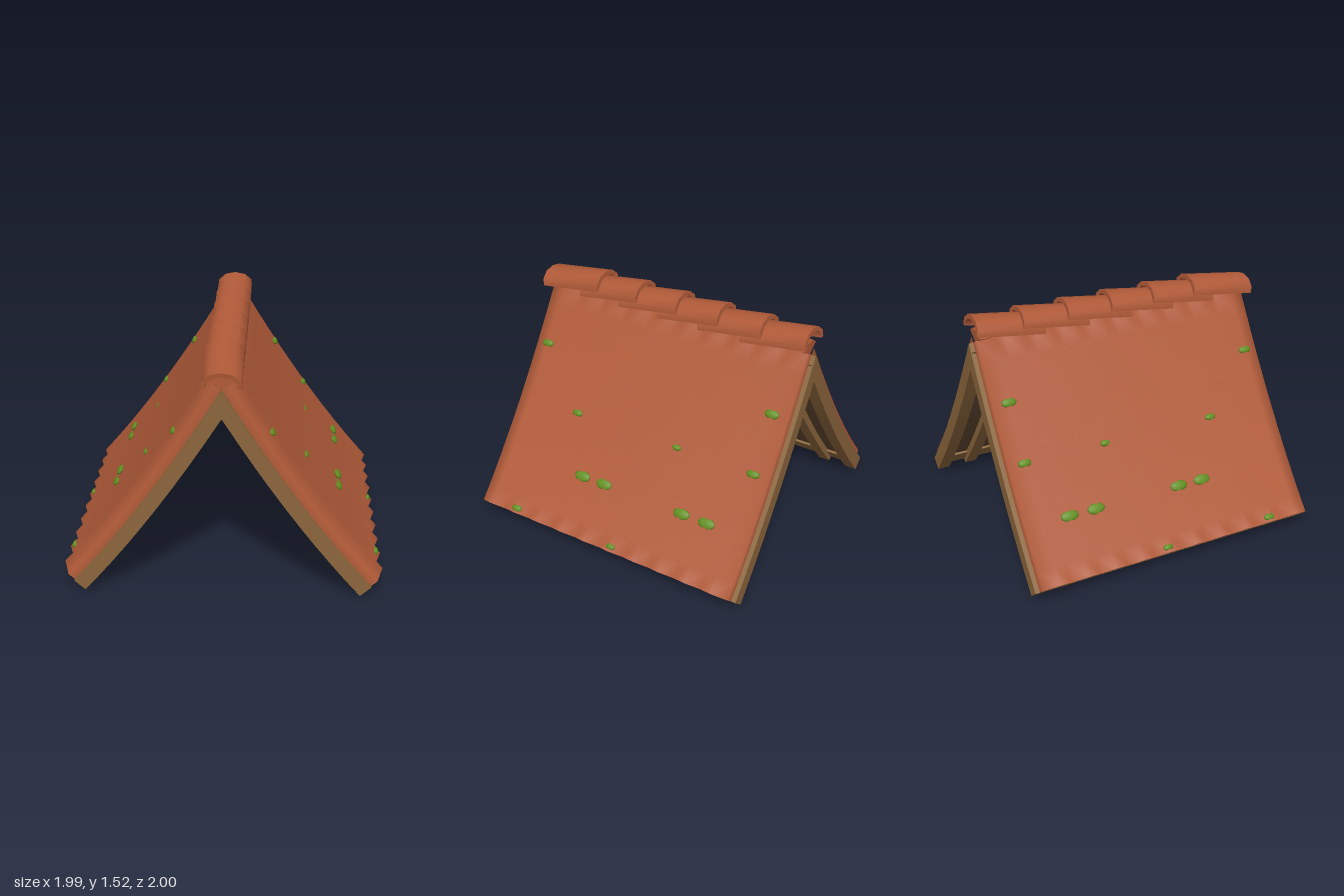
import * as THREE from 'three';
import { toCreasedNormals } from 'three/addons/utils/BufferGeometryUtils.js';

const mat = (name, color) => Object.assign(new THREE.MeshStandardMaterial({ color }), { name });

// Sagging roof line, t = 0 at the ridge and 1 at the eave
const slope = new THREE.QuadraticBezierCurve(
  new THREE.Vector2(0, 1.34), new THREE.Vector2(0.46, 0.576), new THREE.Vector2(0.92, 0.06));

const normalAt = (t) => {
  const g = slope.getTangent(t);
  return new THREE.Vector2(-g.y, g.x);
};

// Point lifted by d from the roof line; mitred on the centre plane for timber
function roofPoint(t, d, mitre = false) {
  const n = normalAt(t);
  if (mitre && t === 0) return new THREE.Vector2(0, 1.34 + d / n.y);
  return slope.getPoint(t).addScaledVector(n, d);
}

// Smooth surface from a rule f(i, j)
function grid(nu, nv, flip, f) {
  const pos = [], idx = [];
  for (let i = 0; i <= nu; i++) for (let j = 0; j <= nv; j++) pos.push(...f(i, j));
  for (let i = 0; i < nu; i++) for (let j = 0; j < nv; j++) {
    const a = i * (nv + 1) + j, b = a + nv + 1;
    if (flip) idx.push(a, a + 1, b, b, a + 1, b + 1);
    else idx.push(a, b, a + 1, b, b + 1, a + 1);
  }
  const g = new THREE.BufferGeometry();
  g.setAttribute('position', new THREE.Float32BufferAttribute(pos, 3));
  g.setIndex(idx);
  g.computeVertexNormals();
  return g;
}

// Curved timber following the roof line on side s
function slab(s, t0, t1, d0, d1, z0, z1) {
  const n = 10, pts = [];
  for (let i = 0; i <= n; i++) pts.push(roofPoint(t0 + (t1 - t0) * i / n, d1, true));
  for (let i = n; i >= 0; i--) pts.push(roofPoint(t0 + (t1 - t0) * i / n, d0, true));
  pts.forEach((p) => { p.x *= s; });
  const g = new THREE.ExtrudeGeometry(new THREE.Shape(pts), { depth: z1 - z0, bevelEnabled: false });
  g.translate(0, 0, z0);
  return toCreasedNormals(g, 0.5);
}

function prism(points, depth) {
  const shape = new THREE.Shape(points.map(([x, y]) => new THREE.Vector2(x, y)));
  return new THREE.ExtrudeGeometry(shape, { depth, bevelEnabled: false });
}

export function createModel() {
  const root = new THREE.Group();
  root.name = 'tiledRoof';
  const tile = mat('terracotta', 0xb05a38);
  const wood = mat('wood', 0x8c663c);
  const dark = mat('darkWood', 0x604630);
  const moss = mat('moss', 0x628f20);
  const add = (parent, name, geometry, material) => {
    const m = new THREE.Mesh(geometry, material);
    m.name = name;
    parent.add(m);
    return m;
  };

  // Zigzag tile section as [z, lift], front to back, with ten crests
  const section = [[0.95, 0], [0.95, 0.05]];
  for (let k = 0; k < 10; k++) {
    const z = 0.84 - 0.19 * k;
    section.push([z, 0.1], [k < 9 ? z - 0.095 : -0.965, 0.05]);
  }
  section.push([-0.97, 0]);
  const last = section.length - 1, rows = 12;
  const under = (d) => Math.max(d - 0.045, 0);

  // Moss clumps on the crests: [t, z, half width]
  const clumps = [
    [0.24, 0.84, 0.045], [0.24, -0.87, 0.05], [0.476, 0.45, 0.04], [0.476, -0.32, 0.035],
    [0.476, -0.87, 0.045], [0.726, 0.26, 0.06], [0.726, 0.09, 0.06], [0.726, -0.5, 0.06],
    [0.726, -0.68, 0.06], [0.975, 0.65, 0.04], [0.975, -0.11, 0.035],
  ];

  for (const s of [1, -1]) {
    const side = new THREE.Group();
    side.name = s > 0 ? 'leftSlope' : 'rightSlope';
    root.add(side);
    const at = (t, d, z) => {
      const p = roofPoint(t, d);
      return [s * p.x, p.y, z];
    };

    // Tile sheet: top, underside and eave edge
    add(side, 'tileTop', grid(rows, last, s < 0,
      (i, j) => at(i / rows, section[j][1], section[j][0])), tile);
    add(side, 'tileUnderside', grid(rows, last, s > 0,
      (i, j) => at(i / rows, under(section[j][1]), section[j][0])), tile);
    add(side, 'tileEaveEdge', grid(1, last, s < 0,
      (i, j) => at(1, i ? under(section[j][1]) : section[j][1], section[j][0])), tile);

    // Boarding and timber frame
    add(side, 'boarding', slab(s, 0, 0.99, -0.045, -0.002, -0.99, 0.96), dark);
    for (const [z0, z1] of [[0.9, 0.97], [0.69, 0.77], [-0.79, -0.71], [-1, -0.915]])
      add(side, 'rafter', slab(s, 0, 1, -0.092, 0, z0, z1), wood);
    add(side, 'eaveBeam', slab(s, 0.91, 1, -0.06, -0.001, -0.995, 0.965), wood);
    add(side, 'ridgeBeam', slab(s, 0, 0.09, -0.06, -0.001, -0.995, 0.965), wood);

    // Moss
    for (const [t, z, r] of clumps) {
      const m = add(side, 'mossClump', new THREE.IcosahedronGeometry(1, 1), moss);
      const n = normalAt(t);
      m.scale.set(0.017, r * 0.6, r);
      m.position.set(...at(t, 0.088, z));
      m.rotation.z = Math.atan2(n.y, s * n.x);
    }
  }

  // Mortar bed under the ridge caps
  const bed = prism([[0, 1.335], [0.086, 1.39], [0.045, 1.42], [-0.045, 1.42], [-0.086, 1.39]], 1.89);
  bed.translate(0, 0, -0.955);
  add(root, 'ridgeBed', bed, tile);

  // Overlapping ridge caps, each rising towards the back
  const outer = [[0.12, 0], [0.118, 0.045], [0.07, 0.087], [0, 0.102]];
  const half = outer.concat(outer.slice(0, 3).reverse().map(([x, y]) => [-x, y]));
  const inner = half.map(([x, y]) => [x * 0.78, y * 0.72]).reverse();
  const cap = prism(half.concat(inner), 0.455);
  cap.translate(0, 0, -0.455);
  cap.rotateX(0.14);
  const capGeometry = toCreasedNormals(cap, 0.95);
  for (let k = 0; k < 6; k++)
    add(root, 'ridgeCap', capGeometry, tile).position.set(0, 1.357, 0.985 - 0.304 * k);

  return root;
}
